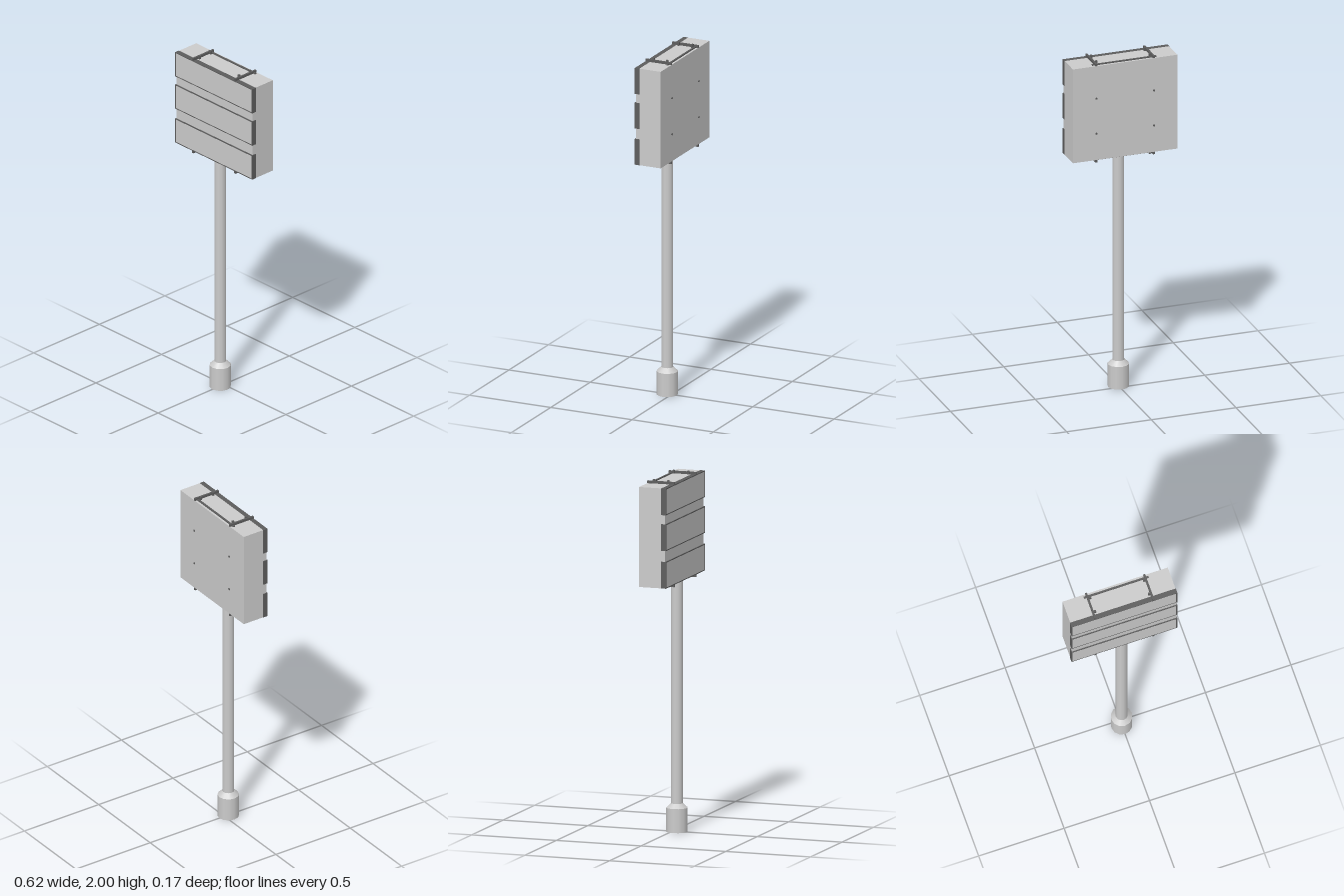
import * as THREE from 'three';

const light = new THREE.MeshStandardMaterial({ color: 0xcccccc });
const lightOpen = new THREE.MeshStandardMaterial({ color: 0xcccccc, side: THREE.DoubleSide });
const dark = new THREE.MeshStandardMaterial({ color: 0x5d5d5d });

export function createModel() {
  const model = new THREE.Group();

  const add = (name, geometry, material, x, y, z) => {
    const mesh = new THREE.Mesh(geometry, material);
    mesh.name = name;
    mesh.position.set(x, y, z);
    model.add(mesh);
    return mesh;
  };
  const box = (name, material, w, h, d, x, y, z) =>
    add(name, new THREE.BoxGeometry(w, h, d), material, x, y, z);

  const bottom = 1.418, top = 1.98, mid = (bottom + top) / 2;
  const width = 0.616, poleZ = 0.026;

  // Hollow foot: straight sleeve and sloped collar, open underneath
  add('footSleeve', new THREE.CylinderGeometry(0.06, 0.06, 0.135, 12, 1, true), lightOpen, 0, 0.0675, poleZ);
  add('footCollar', new THREE.CylinderGeometry(0.034, 0.06, 0.025, 12, 1, true), lightOpen, 0, 0.1475, poleZ);

  // Pole
  add('pole', new THREE.CylinderGeometry(0.033, 0.033, bottom - 0.15, 12, 1, true), lightOpen, 0, (bottom + 0.15) / 2, poleZ);

  // Cabinet, with slightly recessed infill between the sign strips
  box('cabinet', light, width, top - bottom, 0.131, 0, mid, -0.0175);
  box('cabinetFront', light, width - 0.004, top - bottom - 0.01, 0.022, 0, mid, 0.059);

  // Three sign strips, each a dark frame around a light face
  const stripH = 0.15, edge = 0.005;
  const outline = (w, h) => [[-w, -h], [w, -h], [w, h], [-w, h]].map(([x, y]) => new THREE.Vector2(x / 2, y / 2));
  for (const y of [bottom + stripH / 2, 1.704, top - stripH / 2]) {
    const shape = new THREE.Shape(outline(width + 0.004, stripH));
    shape.holes.push(new THREE.Path(outline(width - edge * 2, stripH - edge * 2).reverse()));
    const frame = new THREE.ExtrudeGeometry(shape, { depth: 0.028, bevelEnabled: false });
    add('signFrame', frame, dark, 0, y, 0.048);
    box('signFace', light, width - edge * 2, stripH - edge * 2, 0.02, 0, y, 0.065);
  }

  // Mounting rails with lugs and a cross bar, above and below the cabinet
  for (const [edgeY, dir] of [[top, 1], [bottom, -1]]) {
    box('crossBar', dark, 0.378, 0.006, 0.011, 0, edgeY + dir * 0.003, -0.065);
    for (const side of [-1, 1]) {
      box('mountingRail', dark, 0.011, 0.014, 0.16, side * 0.17, edgeY + dir * 0.007, -0.004);
      for (const z of [-0.051, 0.034])
        box('railLug', dark, 0.013, 0.02, 0.011, side * 0.159, edgeY + dir * 0.01, z);
    }
  }

  // Four bolts on the back
  for (const x of [-0.17, 0.17])
    for (const y of [1.577, 1.787]) {
      const bolt = add('backBolt', new THREE.CylinderGeometry(0.006, 0.006, 0.008, 8), dark, x, y, -0.084);
      bolt.rotation.x = Math.PI / 2;
    }

  return model;
}
